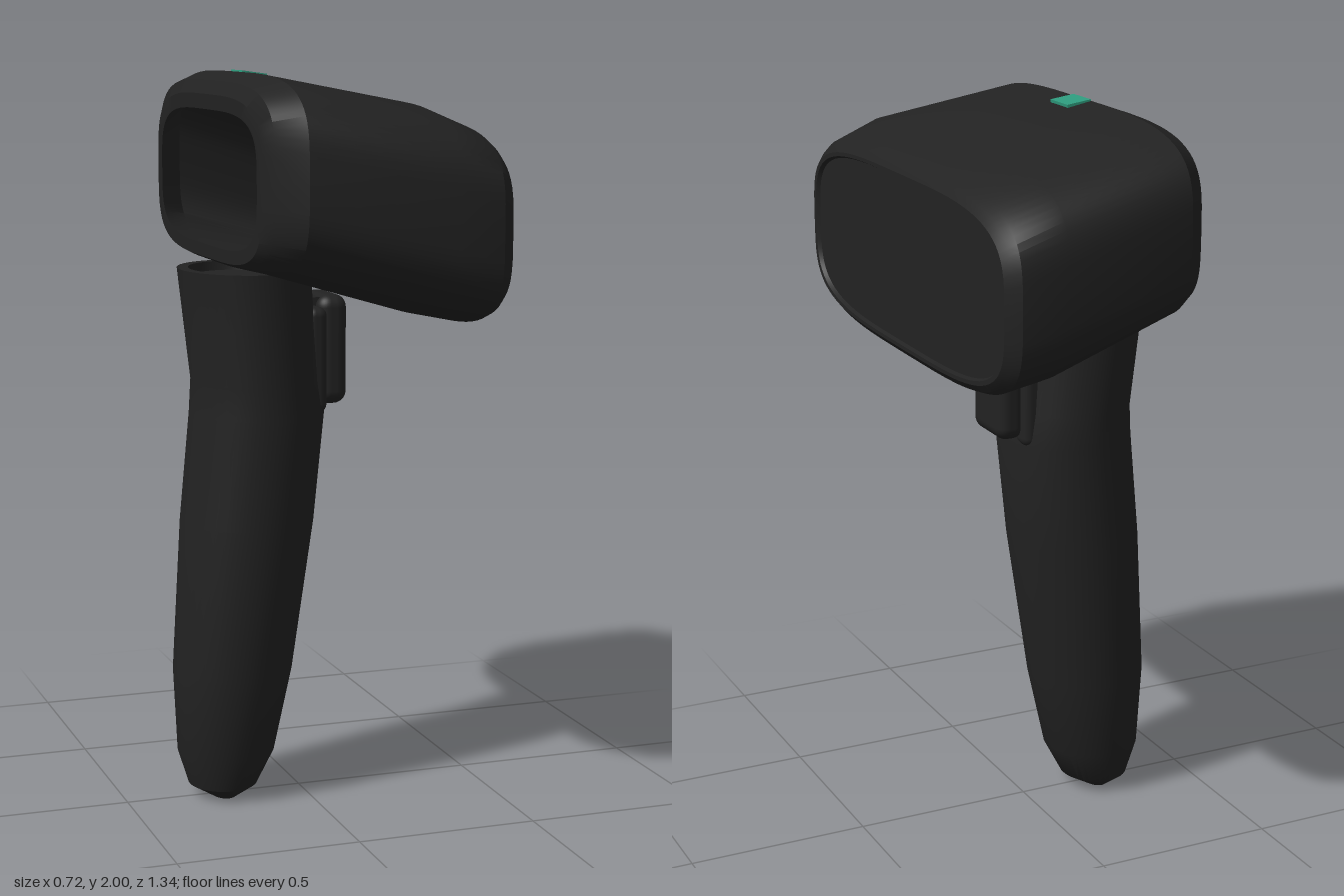
import * as THREE from 'three';
import { toCreasedNormals } from 'three/addons/utils/BufferGeometryUtils.js';
import { RoundedBoxGeometry } from 'three/addons/geometries/RoundedBoxGeometry.js';

// Skin a list of rings (each an array of [x, y, z]) into one surface
function loft(rings, crease) {
  const n = rings[0].length, index = [];
  for (let i = 0; i < rings.length - 1; i++) {
    for (let j = 0; j < n; j++) {
      const a = i * n + j, b = i * n + (j + 1) % n;
      index.push(a, a + n, b, b, a + n, b + n);
    }
  }
  const geo = new THREE.BufferGeometry();
  geo.setAttribute('position', new THREE.Float32BufferAttribute(rings.flat(2), 3));
  geo.setIndex(index);
  return toCreasedNormals(geo, crease);
}

const angles = (n) => Array.from({ length: n }, (_, i) => (i / n) * Math.PI * 2);
const power = (v, e) => Math.sign(v) * Math.pow(Math.abs(v), e);

// Rounded-rectangle ring facing along x
const headRing = ([x, top, bottom, halfZ]) => angles(72).map((t) => [
  x,
  (top + bottom) / 2 + ((top - bottom) / 2) * power(Math.sin(t), 2 / 3.8),
  halfZ * power(Math.cos(t), 2 / 3.8),
]);

// Elliptical ring facing along y
const gripRing = ([y, left, right, halfZ]) => angles(40).map((t) => [
  (left + right) / 2 + ((right - left) / 2) * Math.cos(t), y, halfZ * Math.sin(t),
]);

export function createModel() {
  const group = new THREE.Group();
  const black = new THREE.MeshStandardMaterial({ color: 0x222222, side: THREE.DoubleSide });
  black.name = 'black plastic';
  const green = new THREE.MeshStandardMaterial({ color: 0x2e9b7d });
  green.name = 'green light';

  const add = (name, geo, material, x = 0, y = 0, z = 0) => {
    const mesh = new THREE.Mesh(geo, material);
    mesh.name = name;
    mesh.position.set(x, y, z);
    group.add(mesh);
    return mesh;
  };

  // Hollow head: inner wall, open rear rim, outer shell, front lip, window
  // x, top, bottom, half depth
  add('head', loft([
    [0.3, 1.61, 1.61, 0],
    [0.3, 1.81, 1.39, 0.6],
    [-0.18, 1.955, 1.515, 0.54],
    [-0.26, 1.9, 1.54, 0.44],
    [-0.26, 1.94, 1.505, 0.48],
    [-0.24, 1.975, 1.495, 0.53],
    [-0.175, 1.998, 1.48, 0.6],
    [0.2, 1.925, 1.37, 0.672],
    [0.32, 1.875, 1.345, 0.66],
    [0.34, 1.86, 1.352, 0.645],
    [0.355, 1.84, 1.37, 0.63],
    [0.355, 1.83, 1.38, 0.615],
    [0.345, 1.825, 1.385, 0.608],
    [0.345, 1.605, 1.605, 0],
  ].map(headRing), 0.45), black);

  // Curved grip with a flared, dished top
  // y, left, right, half depth
  add('handle', loft([
    [0, -0.225, -0.225, 0],
    [0, -0.26, -0.19, 0.06],
    [0.035, -0.32, -0.13, 0.105],
    [0.13, -0.35, -0.08, 0.135],
    [0.36, -0.36, -0.03, 0.167],
    [0.78, -0.335, 0.032, 0.19],
    [1.08, -0.306, 0.062, 0.197],
    [1.17, -0.3, 0.045, 0.2],
    [1.475, -0.335, 0.02, 0.212],
    [1.475, -0.305, -0.01, 0.182],
    [1.45, -0.3, -0.015, 0.177],
    [1.45, -0.155, -0.155, 0],
  ].map(gripRing), 0.6), black);

  // Trigger with its surround and hinge
  add('triggerSurround', new RoundedBoxGeometry(0.06, 0.29, 0.22, 3, 0.025), black, 0.02, 1.225, 0);
  add('trigger', new RoundedBoxGeometry(0.085, 0.3, 0.18, 4, 0.035), black, 0.073, 1.25, 0);
  add('triggerHinge', new THREE.BoxGeometry(0.06, 0.035, 0.11), black, 0.025, 1.375, 0);

  // Status light lying on the sloped roof
  const light = add('statusLight', new THREE.BoxGeometry(0.07, 0.009, 0.1), green, -0.14, 1.993, 0);
  light.rotation.z = -0.14;

  return group;
}
